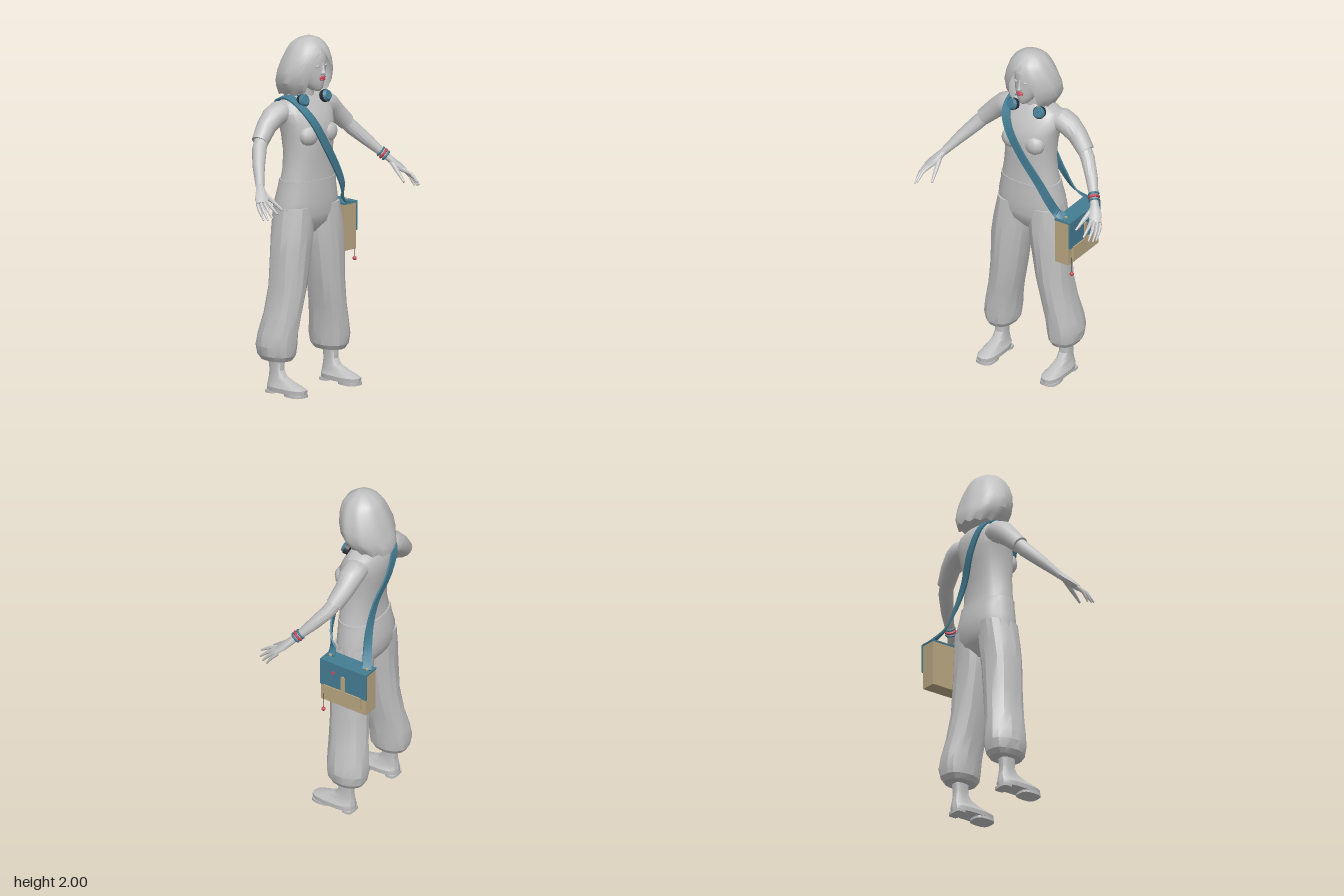
import * as THREE from 'three';
import { toCreasedNormals } from 'three/addons/utils/BufferGeometryUtils.js';

const V = (x, y, z) => new THREE.Vector3(x, y, z);
const mat = (name, color) => Object.assign(new THREE.MeshStandardMaterial({ color }), { name });

// Closed skin over rings of points, with a fan over each end
function skin(rings, { open = false, crease = 0.6 } = {}) {
  const n = rings[0].length, pos = [], idx = [];
  rings.forEach(r => r.forEach(p => pos.push(p.x, p.y, p.z)));
  const at = (i, j) => i * n + (j % n), last = open ? n - 1 : n;
  for (let i = 0; i < rings.length - 1; i++)
    for (let j = 0; j < last; j++)
      idx.push(at(i, j), at(i, j + 1), at(i + 1, j + 1), at(i, j), at(i + 1, j + 1), at(i + 1, j));
  [0, rings.length - 1].forEach((i, top) => {
    const c = rings[i].reduce((s, p) => s.add(p), V(0, 0, 0)).divideScalar(n), k = pos.length / 3;
    pos.push(c.x, c.y, c.z);
    for (let j = 0; j < last; j++) top ? idx.push(k, at(i, j), at(i, j + 1)) : idx.push(k, at(i, j + 1), at(i, j));
  });
  const g = new THREE.BufferGeometry();
  g.setAttribute('position', new THREE.Float32BufferAttribute(pos, 3));
  g.setIndex(idx);
  return toCreasedNormals(g, crease);
}

// Horizontal sections [y, x0, x1, zFront, zBack, gap]: gap is a half angle left open at the front
function stack(sections, { n = 16, power = 2, ripple = () => 1, drop = () => 0, ...opt } = {}) {
  const pw = v => Math.sign(v) * Math.abs(v) ** (2 / power);
  return skin(sections.map(([y, x0, x1, zf, zb, gap = 0], i) => Array.from({ length: n }, (_, j) => {
    const a = opt.open ? gap + (2 * Math.PI - 2 * gap) * j / (n - 1) : 2 * Math.PI * j / n;
    const r = ripple(a, i);
    return V((x0 + x1) / 2 + r * (x1 - x0) / 2 * pw(Math.sin(a)), y + drop(a, i),
      (zf + zb) / 2 + r * (zf - zb) / 2 * pw(Math.cos(a)));
  })), opt);
}

// Limb along sections [x, y, z, width radius, height radius]; s mirrors it in x
function limb(sections, s = 1, n = 10) {
  const c = sections.map(p => V(p[0] * s, p[1], p[2]));
  return skin(c.map((p, i) => {
    const d = c[Math.min(i + 1, c.length - 1)].clone().sub(c[Math.max(i - 1, 0)]).normalize();
    const v = V(0, 1, 0).addScaledVector(d, -d.y).normalize(), u = d.clone().cross(v);
    return Array.from({ length: n }, (_, j) => {
      const a = 2 * Math.PI * j / n;
      return p.clone().addScaledVector(u, Math.sin(a) * sections[i][3]).addScaledVector(v, Math.cos(a) * sections[i][4]);
    });
  }));
}

// Flat band along points [x, y, z, nx, ny, nz]
function band(points, half, thick, steps = 60) {
  const path = new THREE.CatmullRomCurve3(points.map(p => V(p[0], p[1], p[2])));
  const norm = new THREE.CatmullRomCurve3(points.map(p => V(p[3], p[4], p[5])));
  return skin(Array.from({ length: steps + 1 }, (_, i) => {
    const t = i / steps, p = path.getPoint(t), d = path.getTangent(t);
    const u = d.clone().cross(norm.getPoint(t)).normalize(), v = u.clone().cross(d);
    return [[-1, 1], [1, 1], [1, -1], [-1, -1]].map(([a, b]) =>
      p.clone().addScaledVector(u, a * half).addScaledVector(v, b * thick));
  }));
}

export function createModel() {
  const model = new THREE.Group();
  model.name = 'womanWithSatchel';
  const grey = mat('grey', 0xc0c0c0), teal = mat('teal', 0x447c92), tan = mat('tan', 0xb8a681);
  const red = mat('red', 0xc8485c), dark = mat('dark', 0x2b3038);
  grey.side = THREE.DoubleSide;
  const add = (name, geo, material, parent = model) => {
    const m = new THREE.Mesh(geo, material);
    m.name = name;
    parent.add(m);
    return m;
  };
  const box = (name, x0, x1, y0, y1, z0, z1, material, parent) =>
    add(name, new THREE.BoxGeometry(x1 - x0, y1 - y0, z1 - z0), material, parent)
      .position.set((x0 + x1) / 2, (y0 + y1) / 2, (z0 + z1) / 2);
  const ball = (name, x, y, z, rx, ry, rz, material) => {
    const m = add(name, new THREE.SphereGeometry(1, 12, 8), material);
    m.position.set(x, y, z);
    m.scale.set(rx, ry, rz);
  };
  const sym = rows => rows.map(([y, r, zf, zb, g]) => [y, -r, r, zf, zb, g]);

  // Torso and hips
  add('shirt', stack(sym([[1.18, .176, .062, -.155], [1.25, .163, .06, -.145], [1.35, .15, .066, -.15],
    [1.45, .154, .076, -.17], [1.52, .165, .066, -.183], [1.58, .18, .035, -.183], [1.63, .16, .005, -.17],
    [1.655, .12, -.01, -.15], [1.67, .06, -.02, -.12]]), { n: 20, power: 2.4 }), grey);
  add('hips', stack(sym([[.89, .09, .0, -.1], [.95, .18, .05, -.16], [1.0, .208, .062, -.178], [1.08, .2, .066, -.182],
    [1.15, .185, .065, -.168], [1.2, .179, .065, -.159]]), { n: 20, power: 2.4 }), grey);
  add('neck', stack(sym([[1.6, .055, -.01, -.12], [1.68, .048, -.015, -.11], [1.76, .048, .0, -.11]])), grey);

  // Head and face
  add('head', stack(sym([[1.7, .02, .05, -.02], [1.715, .036, .063, -.05], [1.75, .055, .07, -.09], [1.79, .068, .073, -.12],
    [1.84, .076, .073, -.13], [1.9, .077, .074, -.13], [1.95, .06, .05, -.11], [1.97, .03, .01, -.08]]), { n: 18 }), grey);
  add('nose', stack(sym([[1.797, .014, .088, .05], [1.806, .017, .094, .05], [1.825, .01, .086, .05],
    [1.86, .007, .077, .05]]), { n: 8 }), grey);
  ball('upperLip', 0, 1.781, .071, .023, .007, .012, red);
  ball('lowerLip', 0, 1.77, .07, .02, .008, .013, red);

  // Bobbed hair, open over the face, with wavy locks and a ragged hem
  add('hair', stack(sym([[1.685, .118, .045, -.23, .75], [1.71, .142, .058, -.235, .66], [1.75, .163, .07, -.222, .58],
    [1.81, .165, .08, -.205, .5], [1.87, .145, .083, -.185, .34], [1.92, .122, .075, -.162, .14], [1.955, .098, .055, -.142, 0],
    [1.982, .068, .022, -.105, 0], [1.998, .028, -.005, -.065, 0]]), {
    n: 41, open: true, crease: .5,
    ripple: (a, i) => 1 + (i < 8 ? .018 : 0) * Math.cos(9 * a + i * .35),
    drop: (a, i) => i ? 0 : -.02 * (.5 - .5 * Math.cos(a)) + .008 * Math.cos(13 * a)
  }), grey);

  for (const s of [1, -1]) {
    const side = s > 0 ? 'left' : 'right';
    const mir = rows => rows.map(([y, a, b, f, k]) => s > 0 ? [y, a, b, f, k] : [y, -b, -a, f, k]);
    ball(side + 'Eye', s * .03, 1.846, .064, .014, .007, .008, grey);
    ball(side + 'Breast', s * .075, 1.455, .035, .062, .06, .05, grey);

    // Baggy trouser leg gathered at the cuff
    add(side + 'TrouserLeg', stack(mir([[.183, .16, .26, -.01, -.14], [.188, .135, .28, .015, -.175], [.215, .118, .297, .032, -.195],
      [.27, .11, .307, .04, -.205], [.34, .105, .296, .042, -.198], [.45, .085, .268, .05, -.18], [.6, .052, .246, .06, -.165],
      [.8, .02, .24, .065, -.16], [.9, .006, .228, .066, -.165], [1.05, .004, .2, .06, -.172]]),
      { n: 18, power: 2.2, crease: .35, ripple: (a, i) => 1 + .018 * Math.cos(6 * a + i) }), grey);

    // Shoe with a separate heel and front sole
    add(side + 'Shoe', stack(mir([[.014, .157, .267, .14, -.13], [.04, .155, .269, .142, -.132], [.052, .164, .262, .12, -.13],
      [.07, .172, .252, .06, -.128], [.095, .177, .247, -.005, -.122], [.13, .18, .244, -.03, -.118],
      [.2, .174, .25, -.03, -.125]]), { n: 14, power: 2.8, crease: .5 }), grey);
    add(side + 'Heel', stack(mir([[0, .162, .262, -.065, -.13], [.016, .162, .262, -.065, -.13]]), { n: 12, power: 4 }), grey);
    add(side + 'FrontSole', stack(mir([[0, .158, .266, .14, .01], [.016, .158, .266, .14, .01]]), { n: 16, power: 3 }), grey);

    // Sleeve, forearm and hand
    add(side + 'Sleeve', limb([[.1, 1.585, -.095, .06, .05], [.17, 1.582, -.098, .072, .066], [.215, 1.562, -.1, .068, .064],
      [.27, 1.515, -.1, .056, .056], [.34, 1.445, -.08, .048, .048]], s, 14), grey);
    add(side + 'Forearm', limb([[.31, 1.475, -.09, .04, .04], [.365, 1.41, -.06, .041, .041], [.43, 1.335, 0, .035, .034],
      [.475, 1.278, .05, .027, .025], [.5, 1.245, .08, .024, .021]], s, 12), grey);
    add(side + 'Palm', limb([[.492, 1.256, .07, .022, .02], [.512, 1.23, .095, .026, .02], [.54, 1.195, .13, .038, .018],
      [.56, 1.17, .158, .034, .013]], s), grey);
    [[.535, 1.182, .162, .55, 1.125, .267], [.55, 1.178, .158, .575, 1.102, .255],
      [.564, 1.172, .15, .588, 1.09, .23], [.576, 1.166, .138, .592, 1.086, .2]].forEach(([a, b, c, x, y, z], i) =>
      add(side + 'Finger' + (i + 1), limb([[a, b, c, .011, .011], [(a + x) / 2 + .008, (b + y) / 2 + .008, (c + z) / 2, .01, .01],
        [x, y, z, .005, .005]], s, 7), grey));
    add(side + 'Thumb', limb([[.508, 1.22, .105, .016, .016], [.492, 1.175, .17, .013, .012], [.477, 1.13, .232, .006, .006]], s, 7), grey);

    // Headphone cup resting on the collar
    const cup = new THREE.Group();
    cup.name = side + 'HeadphoneCup';
    cup.position.set(s * .088, 1.652, .008);
    cup.rotation.set(1.25, 0, -s * .15);
    model.add(cup);
    add('earPad', new THREE.CylinderGeometry(.037, .034, .026, 16), dark, cup).position.y = -.006;
    add('cupCap', new THREE.CylinderGeometry(.026, .035, .016, 16), teal, cup).position.y = .015;
  }

  // Headphone band behind the neck
  const arc = [[-.09, 1.665, 0], [-.09, 1.7, -.07], [0, 1.705, -.15], [.09, 1.7, -.07], [.09, 1.665, 0]].map(p => V(...p));
  add('headphoneBand', new THREE.TubeGeometry(new THREE.CatmullRomCurve3(arc), 24, .008, 6), teal);

  // Bracelets on the left wrist
  [[0, teal], [.5, red], [1, teal]].forEach(([t, m], i) => {
    const b = add('bracelet' + (i + 1), new THREE.TorusGeometry(.027, i === 1 ? .008 : .006, 6, 18), m);
    b.position.set(.477 + .018 * t, 1.276 - .023 * t, .052 + .022 * t);
    b.quaternion.setFromUnitVectors(V(0, 0, 1), V(.52, -.64, .57).normalize());
  });

  // Shoulder strap across the chest and back
  add('strap', band([[.26, 1.025, 0, .1, 1, .2], [.218, 1.045, .015, .4, .7, .6], [.18, 1.13, .05, .4, 0, .9], [.125, 1.23, .066, .2, 0, 1],
    [.01, 1.4, .084, 0, 0, 1], [-.07, 1.53, .077, 0, .2, 1], [-.115, 1.61, .035, 0, .6, 1], [-.13, 1.665, -.06, -.2, 1, 0],
    [-.115, 1.63, -.165, 0, .4, -1], [-.04, 1.5, -.192, 0, 0, -1], [.06, 1.33, -.165, 0, 0, -1], [.13, 1.2, -.172, .3, 0, -1],
    [.19, 1.09, -.2, .5, .4, -.8], [.26, 1.025, -.245, .1, 1, -.2]], .025, .005), teal);

  // Satchel on the left hip
  const bag = new THREE.Group();
  bag.name = 'satchel';
  model.add(bag);
  box('bagBody', .21, .3, .75, 1.012, -.267, .035, tan, bag);
  box('flapTop', .207, .31, 1.012, 1.022, -.272, .036, teal, bag);
  box('flapFront', .3, .31, .855, 1.012, -.272, .036, teal, bag);
  box('pocket', .3, .317, .78, .86, -.237, .008, tan, bag);
  box('claspStrap', .31, .316, .86, .945, -.132, -.104, tan, bag);
  add('claspTip', new THREE.CylinderGeometry(.014, .014, .006, 12).rotateZ(Math.PI / 2), tan, bag).position.set(.313, .945, -.118);
  add('badge', new THREE.CylinderGeometry(.01, .01, .006, 12).rotateZ(Math.PI / 2), red, bag).position.set(.313, .96, -.052);
  for (const z of [0, -.245])
    add('rivet', new THREE.CylinderGeometry(.009, .009, .008, 10), tan, bag).position.set(.26, 1.031, z);

  // Hanging charm
  add('charmCord', new THREE.CylinderGeometry(.002, .002, .1, 6), dark, bag).position.set(.308, .745, .015);
  add('charm', new THREE.SphereGeometry(.012, 10, 8), red, bag).position.set(.308, .69, .015);
  return model;
}
